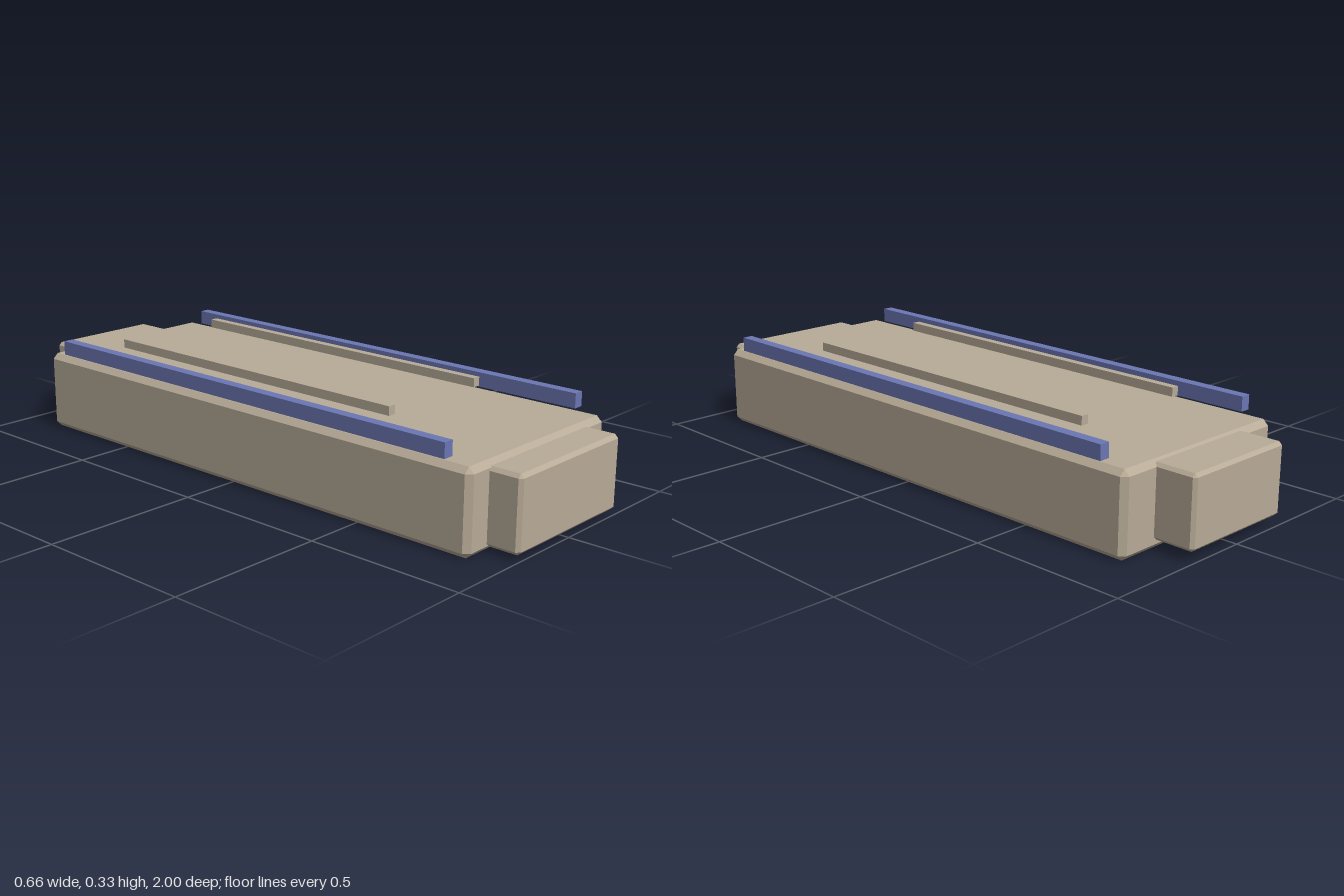
import * as THREE from 'three';
import { ConvexGeometry } from 'three/addons/geometries/ConvexGeometry.js';

const tan = new THREE.MeshStandardMaterial({ color: 0xb8ab97, flatShading: true });
const blue = new THREE.MeshStandardMaterial({ color: 0x6b76b3, flatShading: true });

// Box with every edge cut by a flat chamfer c
function chamferBox(w, h, d, c) {
  const points = [];
  for (const sx of [-1, 1]) for (const sy of [-1, 1]) for (const sz of [-1, 1]) {
    for (let face = 0; face < 3; face++) {
      const inset = [c, c, c];
      inset[face] = 0;
      points.push(new THREE.Vector3(
        sx * (w / 2 - inset[0]), sy * (h / 2 - inset[1]), sz * (d / 2 - inset[2])));
    }
  }
  return new ConvexGeometry(points);
}

// Places a block by its x, y and z ranges; chamfer 0 gives a sharp box
function block(name, [x0, x1], [y0, y1], [z0, z1], chamfer, material) {
  const w = x1 - x0, h = y1 - y0, d = z1 - z0;
  const geometry = chamfer ? chamferBox(w, h, d, chamfer) : new THREE.BoxGeometry(w, h, d);
  const mesh = new THREE.Mesh(geometry, material);
  mesh.name = name;
  mesh.position.set((x0 + x1) / 2, (y0 + y1) / 2, (z0 + z1) / 2);
  return mesh;
}

export function createModel() {
  const model = new THREE.Group();
  model.name = 'model';

  // Main hull and the two end blocks set into it
  model.add(block('body', [-0.329, 0.329], [0, 0.257], [-0.871, 0.898], 0.0175, tan));
  model.add(block('frontBlock', [-0.243, 0.243], [0.015, 0.243], [0.84, 1], 0.011, tan));
  model.add(block('backBlock', [-0.2, 0.2], [0.03, 0.25], [-1, -0.81], 0.01, tan));

  // Floating side rails and inner strips, mirrored left and right
  for (const [side, s] of [['left', 1], ['right', -1]]) {
    const span = (a, b) => (s > 0 ? [a, b] : [-b, -a]);
    model.add(block(side + 'Rail', span(0.297, 0.331), [0.267, 0.313], [-0.787, 0.815], 0, blue));
    model.add(block(side + 'Strip', span(0.187, 0.213), [0.299, 0.327], [-0.616, 0.529], 0, tan));
  }
  return model;
}
